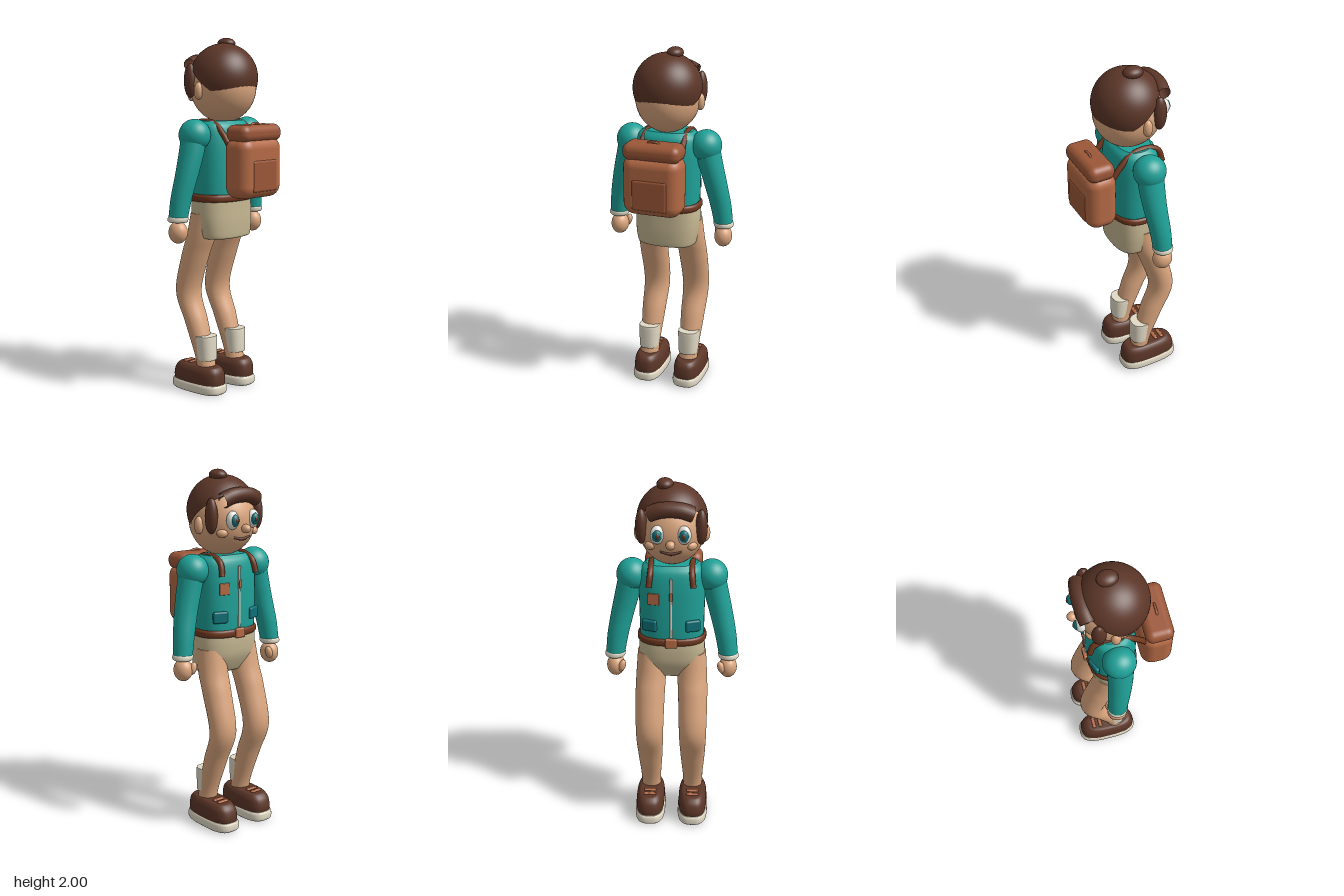
import * as THREE from 'three';
import { RoundedBoxGeometry } from 'three/addons/geometries/RoundedBoxGeometry.js';

const mat = (name, color, side = THREE.FrontSide) => {
  const m = new THREE.MeshStandardMaterial({ color, side });
  m.name = name;
  return m;
};

// Smooth tube of stacked horizontal superellipses, bottom to top.
// Each section: [x, y, z, radiusX, radiusZ]; n > 2 makes the outline boxier.
function loft(sections, n = 2, rows = 24, cols = 40) {
  const centre = new THREE.CatmullRomCurve3(sections.map(s => new THREE.Vector3(s[0], s[1], s[2])), false, 'catmullrom');
  const radii = new THREE.CatmullRomCurve3(sections.map(s => new THREE.Vector3(s[3], s[4], 0)), false, 'catmullrom');
  const rings = [];
  for (let i = 0; i <= rows; i++) rings.push([centre.getPoint(i / rows), radii.getPoint(i / rows)]);
  const none = new THREE.Vector3();
  const first = rings[0], last = rings[rows];
  rings.unshift([first[0], none], first); // flat end caps with a sharp rim
  rings.push(last, [last[0], none]);
  const pos = [], idx = [];
  const pow = v => Math.sign(v) * Math.abs(v) ** (2 / n);
  rings.forEach(([c, r], i) => {
    for (let j = 0; j < cols; j++) {
      const a = (j / cols) * Math.PI * 2;
      pos.push(c.x + r.x * pow(Math.cos(a)), c.y, c.z + r.y * pow(Math.sin(a)));
      if (i === rings.length - 1) continue;
      const p = i * cols + j, q = i * cols + ((j + 1) % cols);
      idx.push(p, p + cols, q, q, p + cols, q + cols);
    }
  });
  const g = new THREE.BufferGeometry();
  g.setAttribute('position', new THREE.Float32BufferAttribute(pos, 3));
  g.setIndex(idx);
  g.computeVertexNormals();
  return g;
}

const tube = (points, r) => new THREE.TubeGeometry(
  new THREE.CatmullRomCurve3(points.map(p => new THREE.Vector3(...p))), 24, r, 10);

export function createModel() {
  const model = new THREE.Group();
  model.name = 'hiker';
  const teal = mat('teal jacket', 0x1fa198);
  const darkTeal = mat('dark teal', 0x0e7078);
  const brown = mat('dark brown', 0x5c3628);
  const strapBrown = mat('belt brown', 0x70381f);
  const leather = mat('leather', 0xb56a45);
  const darkLeather = mat('dark leather', 0x9c5738);
  const skin = mat('skin', 0xdba67e);
  const khaki = mat('khaki', 0xc6b792);
  const cream = mat('cream', 0xe2dac6);
  const white = mat('eye white', 0xf4f4ee);

  const add = (name, geometry, material, p = [0, 0, 0], rot = [0, 0, 0]) => {
    const m = new THREE.Mesh(geometry, material);
    m.name = name;
    m.position.set(...p);
    m.rotation.set(...rot);
    model.add(m);
    return m;
  };
  const ball = (name, material, p, r, rot) => {
    const m = add(name, new THREE.SphereGeometry(1, 36, 24), material, p, rot);
    m.scale.set(...r);
    return m;
  };
  const box = (name, material, p, s, r, rot) =>
    add(name, new RoundedBoxGeometry(...s, 5, r), material, p, rot);

  // Head; the face looks along -z
  ball('head', skin, [0, 1.73, -0.03], [0.178, 0.197, 0.19]);
  const cap = new THREE.SphereGeometry(0.19, 48, 28, 0, Math.PI * 2, 0, 1.68);
  const hairSide = brown;
  hairSide.side = THREE.DoubleSide;
  add('hair', cap, hairSide, [0, 1.78, -0.025], [0.7, 0, 0]);
  ball('hairBun', brown, [0.037, 1.968, -0.04], [0.045, 0.032, 0.055]);
  add('fringe', tube([[-0.115, 1.845, -0.175], [-0.05, 1.868, -0.185], [0.05, 1.868, -0.185], [0.115, 1.845, -0.175]], 0.042), brown);
  ball('nose', skin, [0, 1.695, -0.232], [0.025, 0.024, 0.028]);
  add('mouth', tube([[-0.055, 1.648, -0.19], [0, 1.637, -0.2], [0.055, 1.648, -0.19]], 0.008), brown);

  // Torso
  add('jacket', loft([
    [0, 1.1, -0.045, 0.175, 0.13], [0, 1.2, -0.045, 0.178, 0.134], [0, 1.32, -0.045, 0.18, 0.134],
    [0, 1.43, -0.045, 0.182, 0.13], [0, 1.51, -0.045, 0.172, 0.118], [0, 1.545, -0.045, 0.14, 0.09],
  ], 2.5), teal);
  add('belt', loft([
    [0, 1.098, -0.045, 0.18, 0.132], [0, 1.108, -0.045, 0.19, 0.14],
    [0, 1.13, -0.045, 0.19, 0.14], [0, 1.14, -0.045, 0.18, 0.132],
  ], 2.5, 12), strapBrown);
  box('buckle', leather, [0, 1.12, -0.187], [0.065, 0.055, 0.022], 0.009);
  box('zipper', cream, [0, 1.32, -0.179], [0.014, 0.34, 0.01], 0.004);
  box('zipperPull', leather, [0, 1.39, -0.187], [0.018, 0.045, 0.012], 0.005);
  box('badge', leather, [0.095, 1.37, -0.169], [0.065, 0.065, 0.009], 0.004, [0, -0.2, 0]);
  add('shorts', loft([
    [0, 0.89, -0.02, 0.155, 0.095], [0, 0.905, -0.025, 0.17, 0.108], [0, 0.98, -0.04, 0.183, 0.127],
    [0, 1.05, -0.045, 0.184, 0.131], [0, 1.115, -0.045, 0.178, 0.13],
  ], 2.6), khaki);

  // Backpack
  box('backpack', leather, [0, 1.295, 0.19], [0.33, 0.335, 0.175], 0.065);
  box('backpackLid', darkLeather, [0, 1.482, 0.195], [0.325, 0.095, 0.155], 0.042);
  box('backpackPocket', darkLeather, [0, 1.252, 0.268], [0.2, 0.175, 0.03], 0.0145);
  add('backpackHandle', tube([[-0.035, 1.522, 0.205], [-0.02, 1.533, 0.205], [0.02, 1.533, 0.205], [0.035, 1.522, 0.205]], 0.007), darkLeather);

  for (const s of [-1, 1]) {
    const side = s > 0 ? 'left' : 'right';

    // Face and hair at the sides
    ball(side + 'Ear', skin, [s * 0.178, 1.71, -0.052], [0.025, 0.048, 0.026]);
    ball(side + 'Sideburn', brown, [s * 0.158, 1.765, -0.133], [0.032, 0.095, 0.038]);
    ball(side + 'Eye', white, [s * 0.07, 1.742, -0.202], [0.038, 0.05, 0.03], [0, s * 0.25, 0]);
    ball(side + 'Iris', darkTeal, [s * 0.07, 1.742, -0.224], [0.025, 0.032, 0.018]);
    ball(side + 'Pupil', brown, [s * 0.068, 1.742, -0.237], [0.012, 0.016, 0.008]);
    ball(side + 'Cheek', skin, [s * 0.112, 1.672, -0.168], [0.03, 0.022, 0.018], [0, -s * 0.6, 0]);

    // Jacket pocket and backpack strap
    box(side + 'Pocket', darkTeal, [s * 0.118, 1.215, -0.16], [0.085, 0.065, 0.024], 0.011, [0, -s * 0.35, 0]);
    add(side + 'Strap', tube([
      [s * 0.12, 1.4, 0.13], [s * 0.12, 1.47, 0.08], [s * 0.115, 1.53, 0.01],
      [s * 0.11, 1.54, -0.09], [s * 0.112, 1.51, -0.155], [s * 0.12, 1.44, -0.177],
    ], 0.016), strapBrown);

    // Arm
    ball(side + 'Shoulder', teal, [s * 0.217, 1.47, -0.045], [0.086, 0.088, 0.09]);
    add(side + 'Sleeve', loft([
      [s * 0.314, 1.02, -0.08, 0.053, 0.054], [s * 0.298, 1.13, -0.07, 0.059, 0.059],
      [s * 0.272, 1.25, -0.055, 0.064, 0.064], [s * 0.245, 1.36, -0.047, 0.068, 0.07],
      [s * 0.22, 1.47, -0.045, 0.07, 0.074],
    ]), teal);
    add(side + 'Cuff', loft([
      [s * 0.316, 0.998, -0.081, 0.05, 0.051], [s * 0.316, 1.006, -0.081, 0.056, 0.057],
      [s * 0.314, 1.022, -0.08, 0.056, 0.057], [s * 0.314, 1.03, -0.08, 0.05, 0.051],
    ], 2, 10), cream);
    ball(side + 'Hand', skin, [s * 0.314, 0.94, -0.081], [0.05, 0.062, 0.056]);
    ball(side + 'Thumb', skin, [s * 0.276, 0.95, -0.12], [0.02, 0.036, 0.021], [0, 0, s * 0.3]);

    // Leg, bent at the knee
    add(side + 'Leg', loft([
      [s * 0.122, 0.12, -0.045, 0.055, 0.054], [s * 0.122, 0.22, -0.068, 0.057, 0.055],
      [s * 0.122, 0.4, -0.128, 0.07, 0.064], [s * 0.122, 0.57, -0.188, 0.077, 0.07],
      [s * 0.12, 0.78, -0.135, 0.082, 0.078], [s * 0.115, 0.9, -0.093, 0.083, 0.083],
      [s * 0.112, 1.03, -0.065, 0.078, 0.085],
    ], 2, 32), skin);
    add(side + 'Sock', loft([
      [s * 0.123, 0.19, -0.048, 0.05, 0.05], [s * 0.123, 0.2, -0.049, 0.056, 0.056],
      [s * 0.123, 0.315, -0.054, 0.061, 0.06], [s * 0.123, 0.327, -0.055, 0.056, 0.055],
    ], 2.4, 14), cream);

    // Shoe
    add(side + 'Sole', loft([
      [s * 0.124, 0, -0.105, 0.076, 0.166], [s * 0.124, 0.012, -0.105, 0.086, 0.177],
      [s * 0.124, 0.042, -0.105, 0.086, 0.177], [s * 0.124, 0.056, -0.105, 0.08, 0.17],
    ], 3, 14), cream);
    add(side + 'Shoe', loft([
      [s * 0.124, 0.05, -0.103, 0.08, 0.168], [s * 0.124, 0.085, -0.103, 0.082, 0.169],
      [s * 0.124, 0.125, -0.1, 0.078, 0.16], [s * 0.124, 0.15, -0.096, 0.064, 0.14],
      [s * 0.124, 0.156, -0.094, 0.05, 0.12],
    ], 2.8), brown);
    box(side + 'Tread', khaki, [s * 0.124, 0.002, -0.105], [0.07, 0.008, 0.14], 0.003);
    for (const z of [-0.15, -0.19])
      box(side + 'Lace', leather, [s * 0.124, 0.157, z], [0.07, 0.014, 0.022], 0.006);
  }
  return model;
}
